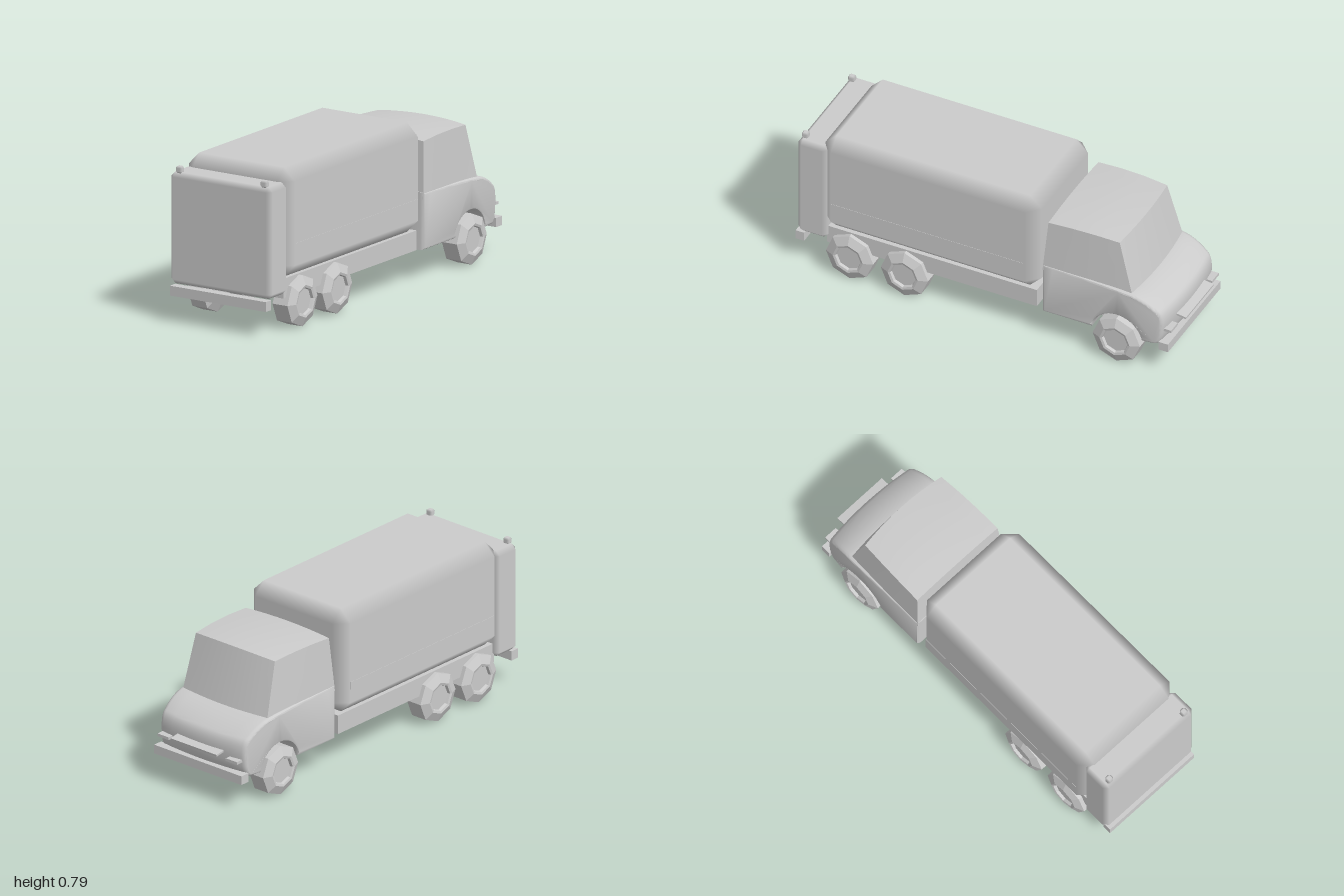
import * as THREE from 'three';
import { toCreasedNormals } from 'three/addons/utils/BufferGeometryUtils.js';
import { ConvexGeometry } from 'three/addons/geometries/ConvexGeometry.js';

const grey = new THREE.MeshStandardMaterial({ color: 0xcccccc });
const faceted = new THREE.MeshStandardMaterial({ color: 0xcccccc, flatShading: true });
const lerp = THREE.MathUtils.lerp;

function add(parent, name, geometry, material = grey) {
  const mesh = new THREE.Mesh(geometry, material);
  mesh.name = name;
  parent.add(mesh);
  return mesh;
}

// Plain box given by its extents
function box(x0, x1, y0, y1, z0, z1) {
  return new THREE.BoxGeometry(x1 - x0, y1 - y0, z1 - z0)
    .translate((x0 + x1) / 2, (y0 + y1) / 2, (z0 + z1) / 2);
}

// Chamfered box: flat main faces, normals blended across the chamfers
function chamferBox(x0, x1, y0, y1, z0, z1, bevel) {
  const half = [(x1 - x0) / 2, (y1 - y0) / 2, (z1 - z0) / 2];
  const points = [];
  for (const sx of [-1, 1]) for (const sy of [-1, 1]) for (const sz of [-1, 1]) {
    for (let axis = 0; axis < 3; axis++) {
      const p = [sx, sy, sz].map((s, i) => s * (half[i] - (i === axis ? 0 : bevel)));
      points.push(new THREE.Vector3(...p));
    }
  }
  const geo = new ConvexGeometry(points);
  const pos = geo.attributes.position, normal = geo.attributes.normal;
  for (let i = 0; i < pos.count; i++) {
    const p = [pos.getX(i), pos.getY(i), pos.getZ(i)];
    normal.setXYZ(i, ...p.map((c, k) => (Math.abs(c) > half[k] - bevel / 2 ? Math.sign(c) : 0)));
  }
  return geo.translate((x0 + x1) / 2, (y0 + y1) / 2, (z0 + z1) / 2);
}

// Apply a rule to every vertex
function reshape(geo, rule) {
  const pos = geo.attributes.position, v = new THREE.Vector3();
  for (let i = 0; i < pos.count; i++) {
    rule(v.fromBufferAttribute(pos, i));
    pos.setXYZ(i, v.x, v.y, v.z);
  }
  return toCreasedNormals(geo, 0.6);
}

// Lower cab: side profile with wheel arches, extruded across and rounded at the nose
function cabBodyGeometry() {
  const s = new THREE.Shape();
  s.moveTo(0.305, 0.152);
  s.lineTo(0.564, 0.152);
  s.absarc(0.7, 0.125, 0.138, Math.PI - 0.19, 0.19, true);
  s.lineTo(0.91, 0.152);
  s.quadraticCurveTo(0.947, 0.16, 0.952, 0.24);
  s.quadraticCurveTo(0.96, 0.325, 0.925, 0.348);
  s.quadraticCurveTo(0.86, 0.398, 0.785, 0.412);
  s.quadraticCurveTo(0.6, 0.432, 0.305, 0.434);
  s.closePath();
  const bevel = 0.022;
  const geo = new THREE.ExtrudeGeometry(s, {
    depth: 0.566 - 2 * bevel, steps: 8, curveSegments: 10,
    bevelThickness: bevel, bevelSize: 0.014, bevelOffset: -0.014, bevelSegments: 3,
  });
  geo.translate(0, 0, bevel - 0.283).rotateY(Math.PI / 2);
  return reshape(geo, (v) => {
    const nose = THREE.MathUtils.clamp((-v.z - 0.72) / 0.23, 0, 1);
    v.z += 0.25 * nose * v.x * v.x;
    v.x *= 1 - 0.06 * nose * nose;
  });
}

// Upper cab: tapered box with raked windscreen and gently crowned roof
function cabTopGeometry() {
  return reshape(new THREE.BoxGeometry(1, 1, 1, 8, 2, 3), (v) => {
    const u = v.x * 2, h = v.y + 0.5, f = 0.5 - v.z;
    const crown = 1 - u * u;
    const back = lerp(-0.307, -0.33, h);
    const front = lerp(-0.775, -0.7, h) - 0.018 * crown;
    v.x = u * lerp(0.28, 0.262, h) * (1 - 0.05 * f * f);
    v.y = lerp(0.4, 0.677 + 0.012 * crown + 0.008 * Math.sin(f * Math.PI), h);
    v.z = lerp(back, front, f);
  });
}

// Eight-sided wheel, axle along x, outer face towards +x
function wheelGeometry() {
  const profile = [[0, 0.176], [0.06, 0.176], [0.08, 0.18], [0.125, 0.2], [0.125, 0.285],
    [0.08, 0.305], [0.068, 0.302], [0.064, 0.288], [0, 0.288]];
  return new THREE.LatheGeometry(profile.map(([r, y]) => new THREE.Vector2(r, y)), 8)
    .rotateZ(-Math.PI / 2);
}

export function createModel() {
  const truck = new THREE.Group();
  truck.name = 'truck';

  // Frame and bumpers
  add(truck, 'chassis', box(-0.265, 0.265, 0.16, 0.256, -0.27, 0.84));
  add(truck, 'hopperBumper', box(-0.275, 0.275, 0.13, 0.178, 0.955, 1.0));
  add(truck, 'cabBumper', box(-0.275, 0.275, 0.135, 0.18, -0.968, -0.918));

  // Load body and hopper
  add(truck, 'loadBody', chamferBox(-0.304, 0.304, 0.256, 0.79, -0.285, 0.862, 0.062));
  add(truck, 'hopper', chamferBox(-0.29, 0.29, 0.185, 0.73, 0.832, 0.988, 0.023));

  // Cab
  const cab = new THREE.Group();
  cab.name = 'cab';
  truck.add(cab);
  add(cab, 'cabBody', cabBodyGeometry());
  add(cab, 'cabTop', cabTopGeometry());
  add(cab, 'cabFloor', box(-0.178, 0.178, 0.153, 0.29, -0.86, -0.54));
  const grille = add(cab, 'grille', box(-0.145, 0.145, -0.005, 0.005, -0.03, 0.03));
  grille.position.set(0, 0.262, -0.968);
  grille.rotation.x = -0.15;

  // Mirrored fittings and wheels
  const wheel = wheelGeometry();
  for (const side of [1, -1]) {
    const label = side > 0 ? 'left' : 'right';
    add(truck, label + 'SideStrip', box(-0.002, 0.002, 0.387, 0.425, -0.223, 0.8))
      .position.x = side * 0.3035;
    add(truck, label + 'Beacon', chamferBox(-0.018, 0.018, 0.725, 0.759, 0.945, 0.979, 0.009))
      .position.x = side * 0.243;
    add(cab, label + 'Headlight', box(-0.035, 0.035, 0.233, 0.247, -0.972, -0.91))
      .position.x = side * 0.215;
    [0.71, 0.42, -0.7].forEach((z, i) => {
      const mesh = add(truck, label + 'Wheel' + (i + 1), wheel, faceted);
      mesh.position.set(0, 0.125, z);
      mesh.rotation.y = side > 0 ? 0 : Math.PI;
    });
  }
  return truck;
}
